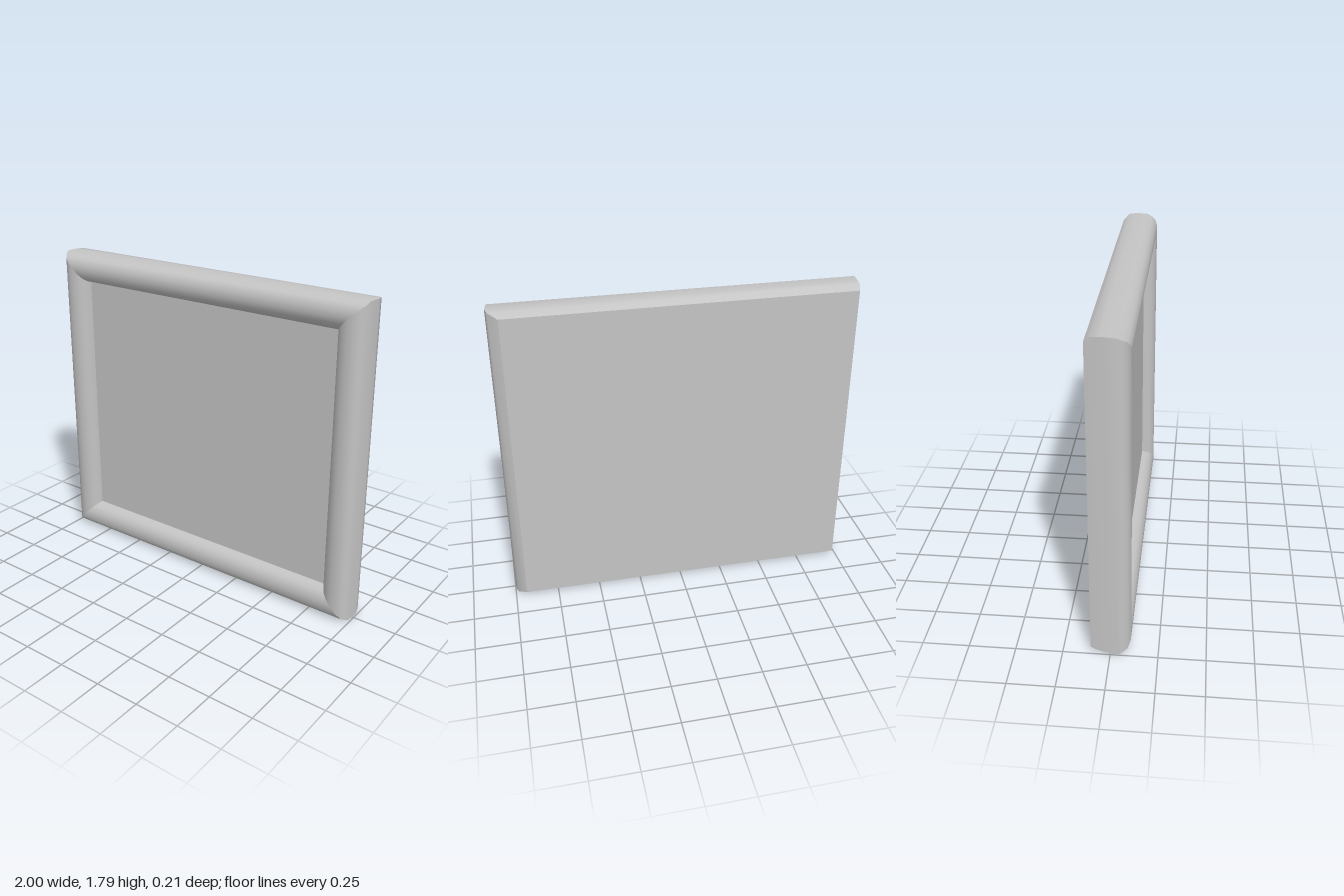
import * as THREE from 'three';

// Moulding profile as rectangular rings, from the inner lip over the front to the back edge:
// [left, right, bottom, top, z]
const RINGS = [
  [-0.835, 0.83, 0.17, 1.63, 0.03],
  [-0.84, 0.832, 0.166, 1.634, 0.055],
  [-0.855, 0.847, 0.15, 1.65, 0.08],
  [-0.88, 0.872, 0.125, 1.675, 0.097],
  [-0.91, 0.90, 0.095, 1.705, 0.104],
  [-0.94, 0.935, 0.06, 1.735, 0.103],
  [-0.97, 0.965, 0.03, 1.765, 0.09],
  [-0.987, 0.98, 0.017, 1.78, 0.068],
  [-1.0, 0.987, 0.004, 1.795, 0.04],
  [-0.99, 0.997, 0.01, 1.796, -0.03],
  [-0.985, 0.985, 0.02, 1.792, -0.075],
  [-0.978, 0.935, 0.03, 1.765, -0.105],
];

// Corners of a ring, anticlockwise from the front
const corners = ([l, r, b, t, z]) => [[l, b, z], [r, b, z], [r, t, z], [l, t, z]];

function surface(points, index) {
  const geometry = new THREE.BufferGeometry();
  geometry.setAttribute('position', new THREE.Float32BufferAttribute(points.flat(), 3));
  geometry.setIndex(index);
  geometry.computeVertexNormals();
  return geometry;
}

// One mitred length of moulding: smooth along its profile, sharp at the mitres
function railGeometry(side) {
  const points = [], index = [];
  RINGS.forEach((ring, k) => {
    const c = corners(ring);
    points.push(c[side], c[(side + 1) % 4]);
    if (k > 0) {
      const inner = 2 * k - 2, outer = 2 * k;
      index.push(outer, outer + 1, inner + 1, outer, inner + 1, inner);
    }
  });
  return surface(points, index);
}

export function createModel() {
  const model = new THREE.Group();
  model.name = 'pictureFrame';
  const grey = new THREE.MeshStandardMaterial({ color: 0xc4c4c4 });
  grey.name = 'light grey';

  const add = (name, geometry) => {
    const mesh = new THREE.Mesh(geometry, grey);
    mesh.name = name;
    model.add(mesh);
  };

  // Frame rails
  ['bottomRail', 'leftRail', 'topRail', 'rightRail'].forEach((name, side) => add(name, railGeometry(side)));

  // Recessed picture panel and flat back
  add('picturePanel', surface(corners(RINGS[0]), [0, 1, 2, 0, 2, 3]));
  add('backPanel', surface(corners(RINGS[RINGS.length - 1]), [0, 2, 1, 0, 3, 2]));

  return model;
}
